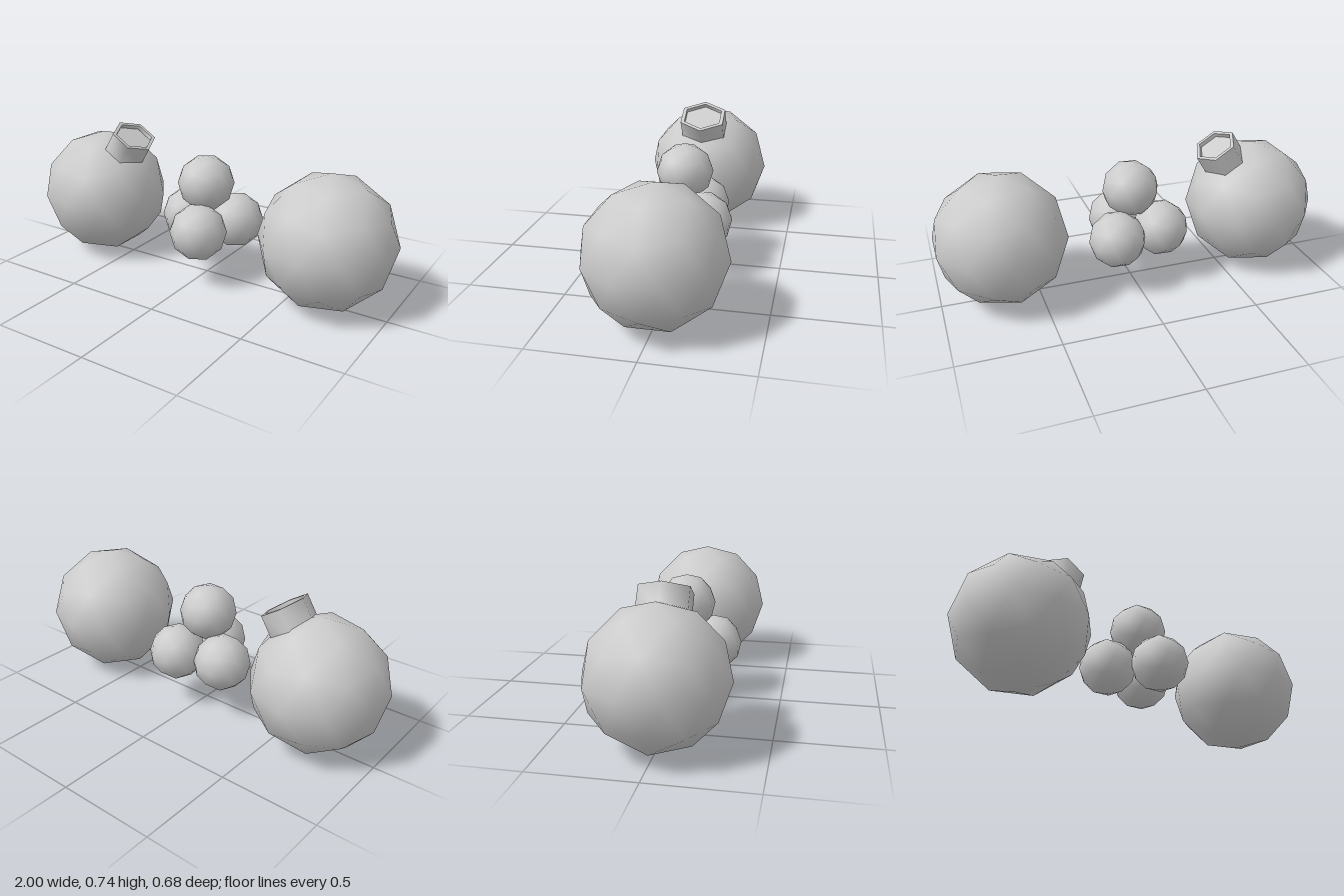
import * as THREE from 'three';
import { toCreasedNormals } from 'three/addons/utils/BufferGeometryUtils.js';

const material = new THREE.MeshStandardMaterial({ color: 0xcccccc });

// Low-poly smooth ball with a vertex at the top and one ring vertex towards +x
function ball(name, radius, x, y, z) {
  const geometry = new THREE.IcosahedronGeometry(radius, 1);
  geometry.rotateZ(-Math.atan(2 / (1 + Math.sqrt(5))));
  const mesh = new THREE.Mesh(geometry, material);
  mesh.name = name;
  mesh.position.set(x, y, z);
  return mesh;
}

// Hexagonal collar with a shallow recess, standing out along the ball's radius
function hexCollar() {
  const profile = [[0.137, 0.27], [0.137, 0.402], [0.114, 0.402], [0.114, 0.38], [0, 0.38]]
    .map(([r, y]) => new THREE.Vector2(r, y));
  const lathe = new THREE.LatheGeometry(profile, 6, Math.PI / 6);
  lathe.scale(0.83, 1, 1);
  const mesh = new THREE.Mesh(toCreasedNormals(lathe, 1.2), material);
  mesh.name = 'hexCollar';
  mesh.rotation.z = -0.558;
  return mesh;
}

export function createModel() {
  const group = new THREE.Group();
  group.name = 'ballSet';

  // Large balls: the right one carries the collar
  const R = 0.3375;
  const collared = ball('rightLargeBall', R, -0.678, 0.34, 0);
  collared.add(hexCollar());
  group.add(collared, ball('leftLargeBall', R, 0.677, 0.34, 0));

  // Stack of small balls: three below, one on top
  const stack = new THREE.Group();
  stack.name = 'smallBallStack';
  const places = [
    ['frontSmallBall', 0.035, 0.288, 0.14],
    ['rightSmallBall', -0.146, 0.288, -0.059],
    ['leftSmallBall', 0.106, 0.288, -0.112],
    ['topSmallBall', -0.003, 0.506, 0.006],
  ];
  for (const [name, x, y, z] of places) {
    const small = ball(name, 0.1455, x, y, z);
    small.rotation.y = 0.24;
    stack.add(small);
  }
  group.add(stack);
  return group;
}
